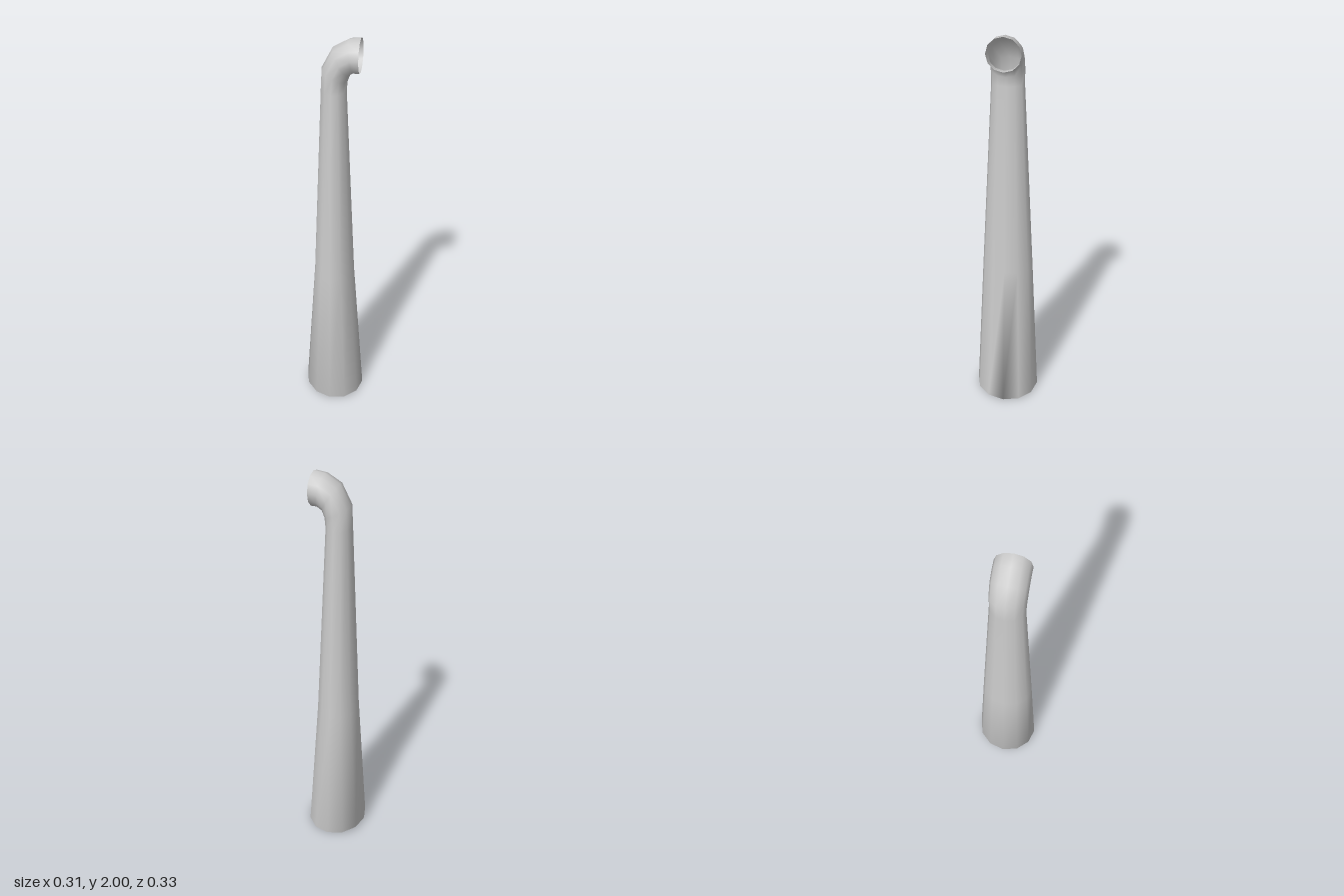
import * as THREE from 'three';

const SIDES = 12;

// Cross-sections from base to mouth: outer point (x, y), inner point (x, y), half depth in z
const RINGS = [
  [-0.157, 0.022, 0.157, 0.0, 0.167],
  [-0.105, 0.78, 0.098, 0.8, 0.128],
  [-0.065, 1.76, 0.052, 1.76, 0.077],
  [-0.06, 1.86, 0.056, 1.805, 0.078],
  [-0.01, 1.955, 0.066, 1.832, 0.079],
  [0.06, 1.994, 0.085, 1.845, 0.079],
  [0.112, 2.0, 0.112, 1.845, 0.079],
];

function pipeGeometry() {
  const positions = [];
  const index = [];
  for (const [ox, oy, ix, iy, depth] of RINGS) {
    for (let j = 0; j < SIDES; j++) {
      const a = (j / SIDES) * Math.PI * 2;
      const t = (1 + Math.cos(a)) / 2; // 0 at the outer point, 1 at the inner one
      positions.push(ox + (ix - ox) * t, oy + (iy - oy) * t, Math.sin(a) * depth);
    }
  }
  // Wall between neighbouring rings
  for (let i = 0; i < RINGS.length - 1; i++) {
    for (let j = 0; j < SIDES; j++) {
      const k = (j + 1) % SIDES;
      const a = i * SIDES + j, b = i * SIDES + k;
      const c = a + SIDES, d = b + SIDES;
      index.push(a, c, b, b, c, d);
    }
  }
  // Closed underside, sharing the wall's smooth normals
  for (let j = 1; j < SIDES - 1; j++) index.push(0, j, j + 1);

  const geometry = new THREE.BufferGeometry();
  geometry.setAttribute('position', new THREE.Float32BufferAttribute(positions, 3));
  geometry.setIndex(index);
  geometry.computeVertexNormals();
  return geometry;
}

export function createModel() {
  const group = new THREE.Group();
  group.name = 'ventPipe';
  // Tapered pipe with a bent, open mouth
  const pipe = new THREE.Mesh(
    pipeGeometry(),
    new THREE.MeshStandardMaterial({ color: 0xcccccc, side: THREE.DoubleSide })
  );
  pipe.name = 'taperedPipe';
  group.add(pipe);
  return group;
}
